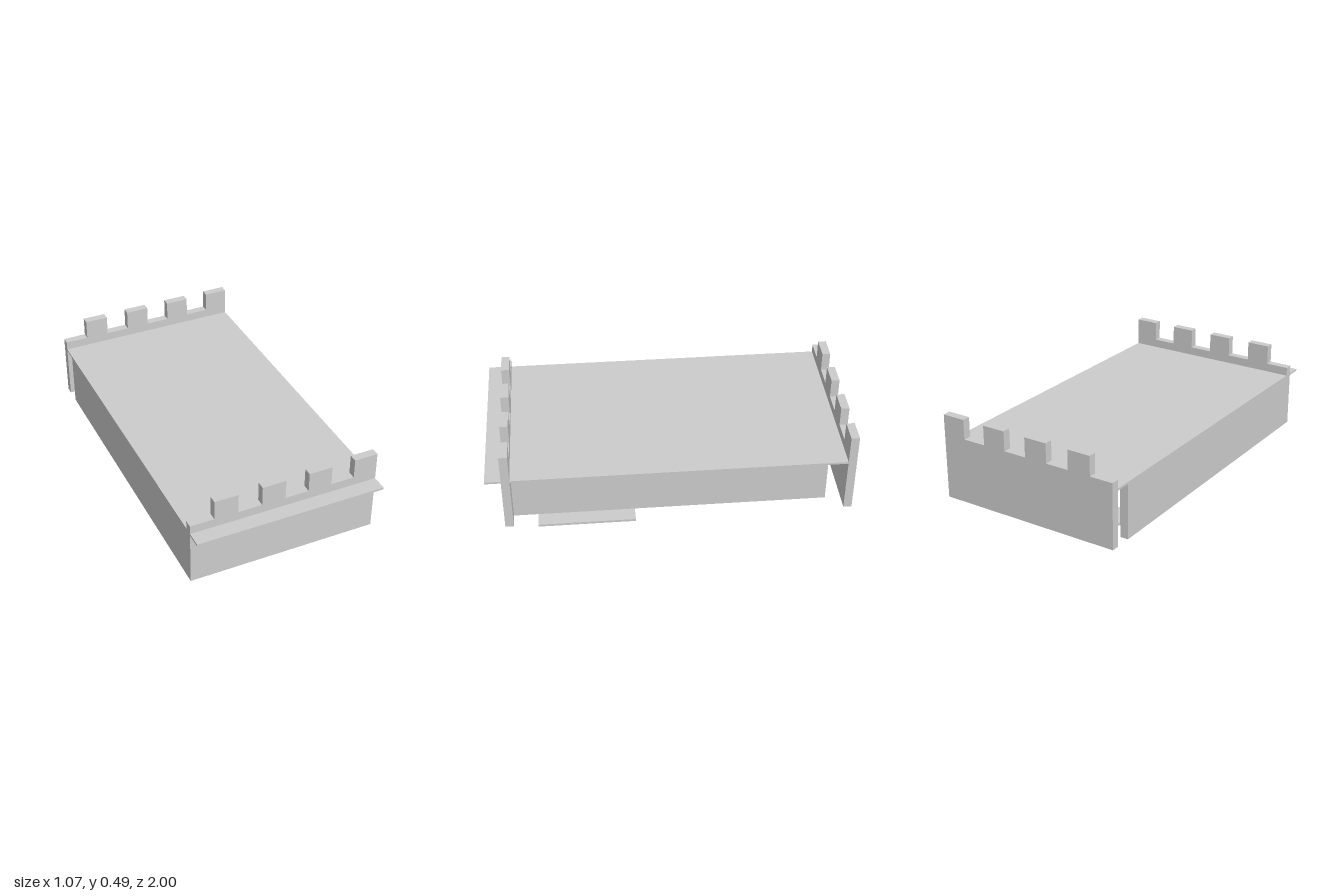
import * as THREE from 'three';

const CELL = 2 / 15;          // layout grid
const WALL = 0.046;           // wall thickness
const BASE = 0.0135;          // underside of the walls
const HALF = CELL * 4;        // half width
const DECK_LOW = 0.3225, DECK_TOP = 0.334;

const material = new THREE.MeshStandardMaterial({ color: 0xcccccc, flatShading: true });

// Box given by its lower and upper corners
function block(name, [x0, y0, z0], [x1, y1, z1]) {
  const mesh = new THREE.Mesh(new THREE.BoxGeometry(x1 - x0, y1 - y0, z1 - z0), material);
  mesh.position.set((x0 + x1) / 2, (y0 + y1) / 2, (z0 + z1) / 2);
  mesh.name = name;
  return mesh;
}

// Crenellated wall: every second grid cell rises into a merlon
function battlement(name, z) {
  const shape = new THREE.Shape();
  shape.moveTo(-HALF, BASE);
  shape.lineTo(HALF, BASE);
  for (let i = 7; i >= 0; i--) {
    const y = i % 2 ? 0.494 : 0.383;
    shape.lineTo(-HALF + (i + 1) * CELL, y);
    shape.lineTo(-HALF + i * CELL, y);
  }
  shape.closePath();
  const mesh = new THREE.Mesh(
    new THREE.ExtrudeGeometry(shape, { depth: WALL, bevelEnabled: false }), material);
  mesh.position.z = z;
  mesh.name = name;
  return mesh;
}

export function createModel() {
  const group = new THREE.Group();
  group.name = 'battlementPlatform';

  // Deck
  group.add(block('deck', [-HALF, DECK_LOW, -1 + WALL], [HALF, DECK_TOP, 1]));

  // End walls with merlons
  group.add(battlement('frontWall', 6.5 * CELL));
  group.add(battlement('backWall', -1));

  // Side walls under the deck
  for (const [name, x] of [['rightWall', -HALF], ['leftWall', 3 * CELL]]) {
    group.add(block(name, [x, BASE, -6.5 * CELL], [x + WALL, DECK_LOW, 6.5 * CELL]));
  }

  // Thin floor plates, in grid cells: x, z, width, depth
  const plates = [
    [2, 1.5, 2, 4],
    [-2, -2.5, 2, 7],
    [-3, -6.5, 1, 2],
    [-1, -6.5, 1, 2],
    [1, -6.5, 1, 2],
  ];
  for (const [x, z, w, d] of plates) {
    group.add(block('floorPlate',
      [x * CELL, 0, z * CELL], [(x + w) * CELL, BASE, (z + d) * CELL]));
  }
  return group;
}
